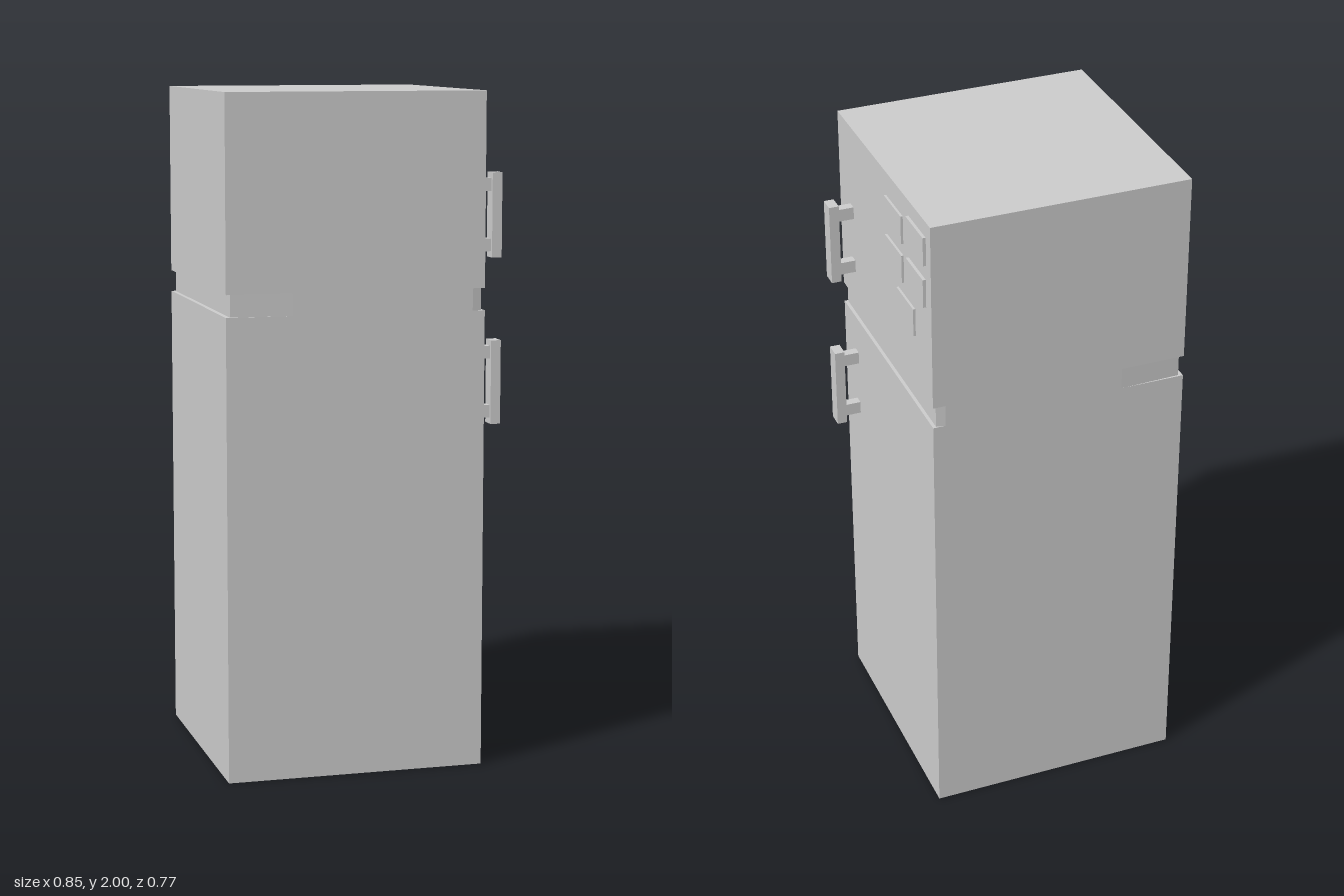
import * as THREE from 'three';

const material = new THREE.MeshStandardMaterial({ color: 0xcccccc, flatShading: true });

// Box given by its min and max along each axis
function block(name, [x0, x1], [y0, y1], [z0, z1]) {
  const mesh = new THREE.Mesh(new THREE.BoxGeometry(x1 - x0, y1 - y0, z1 - z0), material);
  mesh.position.set((x0 + x1) / 2, (y0 + y1) / 2, (z0 + z1) / 2);
  mesh.name = name;
  return mesh;
}

// Upright bar held off the door by two brackets
function handle(name, y) {
  const group = new THREE.Group();
  group.name = name;
  group.add(block('handleBar', [0.395, 0.425], [y, y + 0.25], [0.257, 0.305]));
  for (const b of [0.018, 0.195]) {
    group.add(block('handleBracket', [0.34, 0.4], [y + b, y + b + 0.038], [0.266, 0.294]));
  }
  return group;
}

export function createModel() {
  const fridge = new THREE.Group();
  fridge.name = 'refrigerator';
  const X = [-0.425, 0.347];
  const Z = [-0.386, 0.386];

  // Cabinet halves
  fridge.add(block('fridgeCompartment', X, [0, 1.365], Z));
  fridge.add(block('freezerCompartment', X, [1.43, 2], Z));

  // Slightly recessed neck between them, pinched in at the corners
  const side = [[-0.412, 0.38], [-0.23, 0.386], [0.31, 0.386], [0.337, 0.381]];
  const outline = [...side, ...side.map(([x, z]) => [x, -z]).reverse()];
  const neckShape = new THREE.Shape(outline.map(([x, z]) => new THREE.Vector2(x, z)));
  const neckGeometry = new THREE.ExtrudeGeometry(neckShape, { depth: 0.065, bevelEnabled: false });
  neckGeometry.rotateX(-Math.PI / 2);
  const neck = new THREE.Mesh(neckGeometry, material);
  neck.name = 'doorGap';
  neck.position.y = 1.365;
  fridge.add(neck);

  // Door handles
  fridge.add(handle('freezerHandle', 1.51), handle('fridgeHandle', 1.015));

  // Notes stuck on the freezer door: [centre y, centre z, how far it stands out]
  const notes = [
    [1.91, -0.283, 0.356], [1.885, -0.1, 0.354],
    [1.778, -0.278, 0.356], [1.762, -0.1, 0.354], [1.638, -0.188, 0.354],
  ];
  for (const [y, z, out] of notes) {
    fridge.add(block('doorNote', [0.34, out], [y - 0.043, y + 0.043], [z - 0.068, z + 0.068]));
  }
  return fridge;
}
